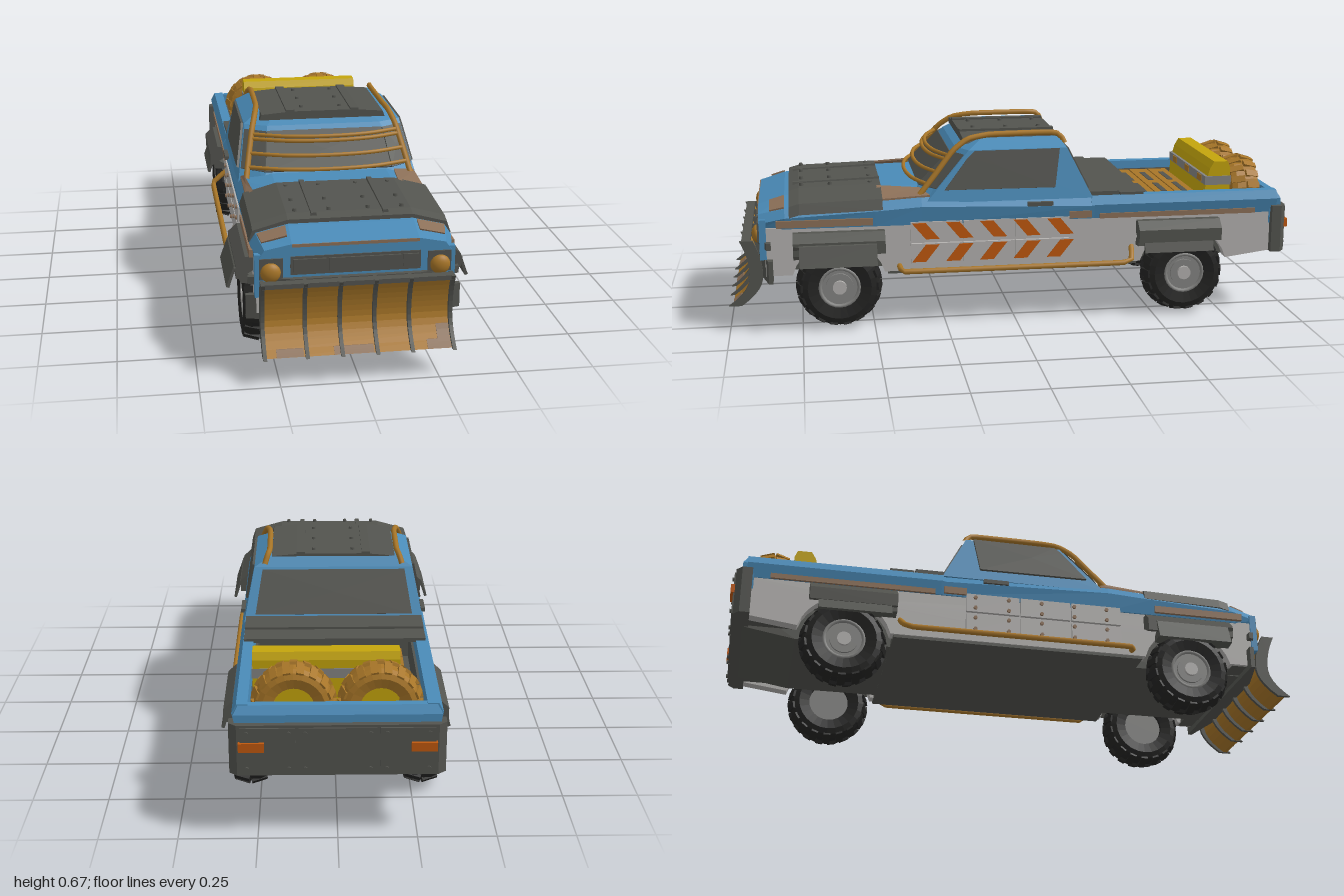
import * as THREE from 'three';

const mat = (name, color) => Object.assign(new THREE.MeshStandardMaterial({ color }), { name });

export function createModel() {
  const root = new THREE.Group();
  root.name = 'armouredPickup';
  const blue = mat('bluePaint', 0x4a8bb8), dark = mat('darkArmour', 0x53544f), ochre = mat('ochrePaint', 0xa87628),
    light = mat('lightGrey', 0xb4b2b0), orange = mat('orange', 0xc0590f), yellow = mat('yellow', 0xc4a50c),
    black = mat('blackRubber', 0x242423), tan = mat('rustTan', 0x8c7058), steel = mat('steel', 0x858583);

  const add = (name, geo, m, parent = root) => {
    const mesh = new THREE.Mesh(geo, m);
    mesh.name = name;
    parent.add(mesh);
    return mesh;
  };
  // box from its limits on each axis
  const box = (name, m, x0, x1, y0, y1, z0, z1) => add(name,
    new THREE.BoxGeometry(Math.abs(x1 - x0), y1 - y0, Math.abs(z1 - z0)).translate((x0 + x1) / 2, (y0 + y1) / 2, (z0 + z1) / 2), m);
  // closed rings joined into a solid with flat faces, turned outwards by signed volume
  const loft = (rings) => {
    const tris = [], n = rings[0].length;
    const mid = (r) => [0, 1, 2].map((k) => r.reduce((s, p) => s + p[k], 0) / n);
    for (let i = 0; i < rings.length - 1; i++) for (let j = 0; j < n; j++) {
      const k = (j + 1) % n, a = rings[i][j], b = rings[i][k], c = rings[i + 1][k], d = rings[i + 1][j];
      tris.push([a, b, c], [a, c, d]);
    }
    const first = rings[0], last = rings[rings.length - 1];
    for (let j = 0; j < n; j++) {
      const k = (j + 1) % n;
      tris.push([mid(first), first[k], first[j]], [mid(last), last[j], last[k]]);
    }
    const o = mid(first), v = (p) => new THREE.Vector3(p[0] - o[0], p[1] - o[1], p[2] - o[2]);
    const vol = tris.reduce((s, t) => s + v(t[0]).dot(v(t[1]).cross(v(t[2]))), 0);
    const g = new THREE.BufferGeometry();
    g.setAttribute('position', new THREE.Float32BufferAttribute(tris.flatMap((t) => (vol < 0 ? [t[0], t[2], t[1]] : t)).flat(), 3));
    g.computeVertexNormals();
    return g;
  };
  // thin plate: polygon pushed along a direction
  const plate = (name, m, pts, d) => add(name, loft([pts.map((p) => p.map((q, i) => q - d[i] * 0.3)), pts.map((p) => p.map((q, i) => q + d[i]))]), m);
  // side profile of [z, y] points extruded across x
  const extrudeX = (pts, x0, x1) => new THREE.ExtrudeGeometry(new THREE.Shape(pts.map((p) => new THREE.Vector2(...p))),
    { depth: x1 - x0, bevelEnabled: false }).rotateY(-Math.PI / 2).translate(x1, 0, 0);
  const tube = (name, m, pts, r, tension = 0.2) => add(name, new THREE.TubeGeometry(
    new THREE.CatmullRomCurve3(pts.map((p) => new THREE.Vector3(...p)), false, 'catmullrom', tension), 28, r, 8), m);
  const rivet = (m, x, y, z, axis) => {
    const g = new THREE.CylinderGeometry(0.007, 0.008, 0.01, 6);
    if (axis === 'x') g.rotateZ(Math.PI / 2);
    if (axis === 'z') g.rotateX(Math.PI / 2);
    add('rivet', g.translate(x, y, z), m);
  };
  // round-shouldered tyre with chunky tread, axle along x
  const tyre = (name, m, r, w) => {
    const g = new THREE.Group();
    g.name = name;
    const prof = [[0.5, -0.42], [0.76, -0.5], [0.9, -0.44], [0.96, -0.28], [0.96, 0.28], [0.9, 0.44], [0.76, 0.5], [0.5, 0.42], [0.5, -0.42]];
    add('tyre', new THREE.LatheGeometry(prof.map(([a, b]) => new THREE.Vector2(a * r, b * w)), 24).toNonIndexed().rotateZ(Math.PI / 2), m, g)
      .geometry.computeVertexNormals();
    for (let i = 0; i < 36; i++) {
      const s = i % 2 ? 1 : -1;
      const lug = new THREE.BoxGeometry(w * 0.45, r * 0.08, r * 0.18).rotateZ(-s * 0.3).translate(s * w * 0.24, r * 0.94, 0);
      add('treadLug', lug.rotateX((i * Math.PI) / 18), m, g);
    }
    root.add(g);
    return g;
  };

  // lower body sides with wheel arches, and floor pan
  const arch = (c) => Array.from({ length: 13 }, (_, i) => {
    const a = 0.276 + (i / 12) * (Math.PI - 0.552);
    return [c + 0.165 * Math.cos(a), 0.145 + 0.165 * Math.sin(a)];
  });
  const sideShape = [[0.87, 0.36], [0.87, 0.19], ...arch(0.62), ...arch(-0.61), [-0.96, 0.215], [-0.96, 0.36]];
  add('floorPan', extrudeX([[0.86, 0.3], [0.86, 0.185], [-0.77, 0.18], [-0.95, 0.21], [-0.95, 0.3]], -0.22, 0.22), dark);
  box('sillPan', dark, -0.305, 0.305, 0.18, 0.2, -0.44, 0.45);
  box('rearPan', dark, -0.3, 0.3, 0.215, 0.23, -0.95, -0.78);
  box('frontPan', dark, -0.3, 0.3, 0.188, 0.2, 0.79, 0.865);

  // bonnet and belt line
  const section = (z, w, bottom, side, top) => {
    const h = [[w - 0.01, bottom], [w, side - 0.03], [w - 0.02, side], [0.2, top]];
    return [...h, ...h.map(([x, y]) => [-x, y]).reverse()].map(([x, y]) => [x, y, z]);
  };
  add('bonnetAndBelt', loft([section(0.89, 0.305, 0.355, 0.405, 0.422), section(0.8, 0.322, 0.355, 0.425, 0.45),
    section(0.49, 0.325, 0.355, 0.44, 0.468), section(0.33, 0.325, 0.355, 0.45, 0.472), section(-0.28, 0.325, 0.355, 0.432, 0.435)]), blue);
  box('nose', blue, -0.316, 0.316, 0.25, 0.39, 0.865, 0.888);
  box('noseLipRust', tan, -0.2, 0.2, 0.412, 0.422, 0.885, 0.893);

  // front face: grille, lamps, bumper
  box('grille', dark, -0.205, 0.205, 0.322, 0.382, 0.88, 0.894);
  for (const [a, b] of [[-0.197, -0.093], [-0.085, 0.141], [0.149, 0.198]]) box('grilleSlot', dark, a, b, 0.332, 0.374, 0.89, 0.9);
  add('frontBumper', loft([0.17, 0.25].map((y) => [[-0.342, y, 0.845], [-0.342, y, 0.86], [-0.2, y, 0.895], [0.2, y, 0.895], [0.342, y, 0.86], [0.342, y, 0.845]])), dark);
  add('bumperTopBar', loft([0.288, 0.312].map((y) => [[-0.335, y, 0.85], [-0.335, y, 0.865], [-0.2, y, 0.905], [0.2, y, 0.905], [0.335, y, 0.865], [0.335, y, 0.85]])), dark);

  // plough blade and ribs
  const bladeZ = (y) => 0.91 + 0.03 * Math.max(0, (y - 0.19) / 0.122) ** 2 + 0.075 * Math.max(0, (0.19 - y) / 0.104) ** 2;
  const strip = (y0, y1, front, back, n = 12) => {
    const c = Array.from({ length: n + 1 }, (_, i) => y1 + ((y0 - y1) * i) / n).map((y) => [bladeZ(y), y]);
    return [...c.map(([z, y]) => [z + front, y]), ...c.map(([z, y]) => [z - back, y]).reverse()];
  };
  add('ploughBlade', extrudeX(strip(0.086, 0.312, 0, 0.014), -0.3, 0.3), ochre);
  for (const x of [-0.297, -0.165, -0.055, 0.055, 0.165, 0.297]) add('ploughRib', extrudeX(strip(0.085, 0.315, 0.015, 0.03), x - 0.006, x + 0.006), dark);
  box('ploughTopEdge', dark, -0.3, 0.3, 0.3, 0.315, 0.92, 0.95);
  for (const [a, b, y] of [[-0.26, -0.175, 0.105], [-0.08, 0.045, 0.105], [0.215, 0.25, 0.108], [0.25, 0.29, 0.145]])
    add('ploughRust', extrudeX(strip(0.087, y, 0.003, 0.001, 4), a, b), tan);
  for (const x of [-0.15, 0.15]) box('ploughArm', dark, x - 0.02, x + 0.02, 0.2, 0.24, 0.85, 0.905);

  // cab, with near-upright sides that round into the roof
  const sideX = (y) => 0.315 - (y - 0.43) * 0.206;
  const zFront = (y) => 0.375 - (y - 0.43), zBack = (y) => -0.275 + (y - 0.43) * 0.5;
  const cornerZ = (y) => zFront(y) - 0.06 + (y - 0.43) * 0.12;
  const ring = (y, w, zf, zb, zc) => [[w, y, zb], [w, y, zc], [w * 0.72, y, zf], [-w * 0.72, y, zf], [-w, y, zc], [-w, y, zb]];
  add('cab', loft([...[0.43, 0.605].map((y) => ring(y, sideX(y), zFront(y), zBack(y), cornerZ(y))), ring(0.637, 0.225, 0.14, -0.165, 0.11)]), blue);
  const screenTop = 0.588;
  plate('windscreen', dark, [[-1, 0.475], [1, 0.475], [1, screenTop], [-1, screenTop]].map(([k, y]) => [k * 0.72 * sideX(y), y, zFront(y)]), [0, 0.005, 0.005]);
  plate('rearWindow', dark, [[-0.275, 0.455, zBack(0.455)], [0.275, 0.455, zBack(0.455)], [0.25, 0.597, zBack(0.597)], [-0.25, 0.597, zBack(0.597)]], [0, 0.003, -0.007]);

  for (const s of [-1, 1]) {
    // body side
    add('lowerBodySide', extrudeX(sideShape, s > 0 ? 0.27 : -0.31, s > 0 ? 0.31 : -0.27), light);

    // window, handle, lamp
    plate('sideWindow', dark, [[0.25, 0.472], [0.165, 0.58], [0.14, 0.602], [-0.16, 0.604], [-0.14, 0.47]].map(([z, y]) => [s * sideX(y), y, z]), [s * 0.008, 0.002, 0]);
    plate('windscreenCorner', dark, [[0.72, 0.475, zFront], [0.98, 0.475, cornerZ], [0.98, screenTop, cornerZ], [0.72, screenTop, zFront]]
      .map(([k, y, f]) => [s * k * sideX(y), y, f(y)]), [s * 0.003, 0.004, 0.005]);
    box('doorHandle', dark, s * 0.318, s * 0.333, 0.41, 0.424, -0.13, -0.04);
    box('lampSurround', dark, s * 0.228, s * 0.302, 0.31, 0.378, 0.88, 0.895);
    add('headlamp', new THREE.SphereGeometry(0.032, 16, 12).scale(1, 1, 0.6).translate(s * 0.267, 0.333, 0.895), ochre);

    // bed wall with dark liner
    add('bedWall', loft([-0.27, -0.95].map((z) => [[0.313, 0.355], [0.325, 0.405], [0.31, 0.435], [0.275, 0.435], [0.27, 0.355]].map(([x, y]) => [s * x, y, z]))), blue);
    box('bedLiner', dark, s * 0.262, s * 0.27, 0.3, 0.405, -0.93, -0.27);

    // rust trim patches
    box('wingRust', tan, s * 0.314, s * 0.327, 0.362, 0.387, 0.5, 0.83);
    box('doorRust', tan, s * 0.314, s * 0.325, 0.36, 0.385, -0.27, -0.19);
    box('bedRust', tan, s * 0.312, s * 0.322, 0.355, 0.373, -0.87, -0.3);
    plate('noseRust', tan, [[0.21, 0.448, 0.8], [0.3, 0.426, 0.8], [0.29, 0.414, 0.85], [0.21, 0.433, 0.85]].map(([x, y, z]) => [s * x, y, z]), [0, 0.005, 0.002]);
    const inner = s > 0 ? 0.215 : 0.28;
    plate('cowlRust', tan, [[inner, 0.477 - (inner - 0.2) * 0.23, 0.48], [0.305, 0.443, 0.48], [0.305, 0.452, 0.3], [inner + 0.015, 0.464, 0.33]]
      .map(([x, y, z]) => [s * x, y, z]), [0, 0.005, 0]);

    // door armour: chevron stripes on one side, rusty rivets on the other
    for (const [y0, y1, lean] of [[0.298, 0.366, 1], [0.217, 0.288, -1]]) {
      for (const [z0, z1] of [[0.37, 0.19], [0.185, 0.005], [0, -0.19]]) box('doorArmour', light, s * 0.308, s * 0.322, y0, y1, z1, z0);
      for (let i = 0; i < 5; i++) {
        const z = 0.318 - i * 0.119, a = 0.024 * lean;
        if (s > 0) plate('hazardStripe', orange, [[z + 0.024 + a, y1 - 0.004], [z - 0.024 + a, y1 - 0.004], [z - 0.024 - a, y0 + 0.006], [z + 0.024 - a, y0 + 0.006]]
          .map(([c, b]) => [0.322, b, c]), [0.003, 0, 0]);
        else for (const y of [y0 + 0.014, y1 - 0.014]) rivet(tan, -0.323, y, z, 'x');
      }
    }

    // wheel flares: bent plates above a stepped skirt
    for (const [name, z0, z1, out] of [['frontFlare', 0.46, 0.775, 0.395], ['rearFlare', -0.735, -0.435, 0.375]]) {
      const bent = (pts, za, zb) => add(name, loft([za, zb].map((z) => pts.map(([x, y]) => [s * x, y, z]))), dark);
      bent([[0.305, 0.343], [0.335, 0.343], [0.365, 0.315], [0.365, 0.27], [0.352, 0.27], [0.305, 0.3]], z0, z1);
      bent([[out - 0.035, 0.31], [out - 0.025, 0.305], [out, 0.235], [out - 0.01, 0.232]], z0 + 0.03, z1 - 0.02);
      bent([[0.305, 0.27], [0.36, 0.305], [out - 0.025, 0.305], [0.35, 0.255], [0.305, 0.25]], z0 + 0.04, z1);
    }

    // side step tube and roll bar
    tube('sideStep', ochre, [[0.3, 0.21, 0.41], [0.35, 0.2, 0.405], [0.358, 0.2, 0.37], [0.358, 0.2, -0.37], [0.352, 0.21, -0.41], [0.3, 0.25, -0.42]].map(([x, y, z]) => [s * x, y, z]), 0.01);
    tube('rollBar', ochre, [[0.288, 0.455, 0.335], [0.274, 0.52, 0.28], [0.255, 0.6, 0.215], [0.24, 0.638, 0.16], [0.228, 0.65, 0.08], [0.225, 0.652, -0.13], [0.232, 0.645, -0.17], [0.242, 0.615, -0.185]]
      .map(([x, y, z]) => [s * x, y, z]), 0.01);

    // rear light
    box('rearLight', orange, s * 0.225, s * 0.305, 0.295, 0.325, -0.999, -0.98);

    // road wheels
    for (const z of [0.62, -0.61]) {
      const w = tyre('wheel', black, 0.145, 0.115);
      w.position.set(s * 0.283, 0.145, z);
      const disc = (name, r, d, x, m) => add(name, new THREE.CylinderGeometry(r, r, d, 20).rotateZ(Math.PI / 2).translate(s * x, 0, 0), m, w);
      disc('rim', 0.073, 0.07, 0, steel);
      disc('hubStep', 0.048, 0.01, 0.038, steel);
      disc('hubCap', 0.024, 0.02, 0.044, light);
      add('rimLip', new THREE.TorusGeometry(0.068, 0.007, 6, 24).rotateY(Math.PI / 2).translate(s * 0.045, 0, 0), steel, w);
    }
  }

  // windscreen guard bars
  for (const y of [0.49, 0.53, 0.572, 0.585]) {
    const w = 0.291 - (y - 0.455) * 0.24, z = 0.335 - (y - 0.455) * 0.83;
    tube('guardBar', ochre, [[-w, y, z], [-w * 0.55, y, z + 0.045], [0, y, z + 0.06], [w * 0.55, y, z + 0.045], [w, y, z]], 0.007, 0.5);
  }

  // bonnet and roof armour with ridges and rivets
  const slab = (z, dy) => [[-0.325, 0.41], [-0.312, 0.447], [-0.2, 0.478], [0.2, 0.478], [0.312, 0.447], [0.325, 0.41], [0.2, 0.43], [-0.2, 0.43]].map(([x, y]) => [x, y + dy, z]);
  add('bonnetArmour', loft([slab(0.785, -0.014), slab(0.75, -0.004), slab(0.465, 0.004)]), dark);
  add('roofArmour', loft([-0.165, 0.175].map((z) => [[-0.224, 0.618], [-0.217, 0.638], [-0.11, 0.647], [0.11, 0.647], [0.217, 0.638], [0.224, 0.618]].map(([x, y]) => [x, y, z]))), dark);
  for (const x of [-0.115, 0.115]) {
    add('bonnetRidge', loft([[0.77, 0.478], [0.465, 0.489]].map(([z, y]) => [[x - 0.012, y - 0.02, z], [x - 0.008, y, z], [x + 0.008, y, z], [x + 0.012, y - 0.02, z]])), dark);
    box('roofRidge', dark, x - 0.015, x + 0.015, 0.635, 0.653, -0.165, 0.175);
    for (const z of [0.5, 0.64, 0.74]) for (const k of [0.55, 1.5]) rivet(dark, x * k, 0.481, z);
    for (const z of [-0.12, 0, 0.12]) rivet(dark, x * 0.6, 0.65, z);
  }

  // bed floor, front cover and tailgate
  box('bedFloor', dark, -0.272, 0.272, 0.295, 0.304, -0.935, -0.25);
  box('bedBulkhead', dark, -0.272, 0.272, 0.3, 0.43, -0.29, -0.27);
  box('bedCover', dark, -0.308, 0.308, 0.436, 0.45, -0.37, -0.26);
  box('bedCoverRear', dark, -0.308, 0.308, 0.43, 0.444, -0.46, -0.375);
  add('tailgate', loft([[0.22, 0.3, -0.97], [0.405, 0.32, -0.965], [0.432, 0.305, -0.95]].map(([y, w, z]) => [[-w, y, z], [w, y, z], [w, y, -0.925], [-w, y, -0.925]])), blue);
  add('rearArmour', loft([0.21, 0.38].map((y) => [[-0.335, y, -0.93], [-0.335, y, -0.965], [-0.31, y, -0.985], [0.31, y, -0.985], [0.335, y, -0.965], [0.335, y, -0.93]])), dark);
  for (const [a, b] of [[-0.3, -0.13], [-0.12, 0.12], [0.13, 0.3]]) {
    box('rearArmourPanel', dark, a, b, 0.218, 0.372, -0.99, -0.98);
    for (const x of [a + 0.02, b - 0.02]) for (const y of [0.235, 0.355]) rivet(dark, x, y, -0.991, 'z');
  }

  // cargo: slatted crate, yellow barrier, spare tyres
  box('crate', ochre, -0.225, 0.235, 0.3, 0.398, -0.685, -0.465);
  for (const z of [-0.5, -0.575, -0.65]) {
    box('crateSlat', ochre, -0.225, 0.235, 0.395, 0.41, z - 0.035, z + 0.035);
    for (const x of [-0.09, 0.1]) box('crateSlot', dark, x - 0.07, x + 0.07, 0.405, 0.412, z - 0.01, z + 0.01);
  }
  add('barrier', extrudeX([[-0.69, 0.304], [-0.7, 0.455], [-0.715, 0.51], [-0.73, 0.535], [-0.78, 0.535], [-0.79, 0.51], [-0.79, 0.304]], -0.2, 0.265), yellow);
  box('barrierBand', steel, -0.203, 0.268, 0.45, 0.482, -0.793, -0.697);
  for (const x of [-0.12, 0.04, 0.2]) box('barrierMark', ochre, x - 0.025, x + 0.025, 0.455, 0.478, -0.71, -0.694);
  for (const x of [-0.135, 0.135]) {
    const t = tyre('spareTyre', ochre, 0.13, 0.11);
    t.rotation.y = Math.PI / 2;
    t.position.set(x, 0.4, -0.857);
  }
  return root;
}
